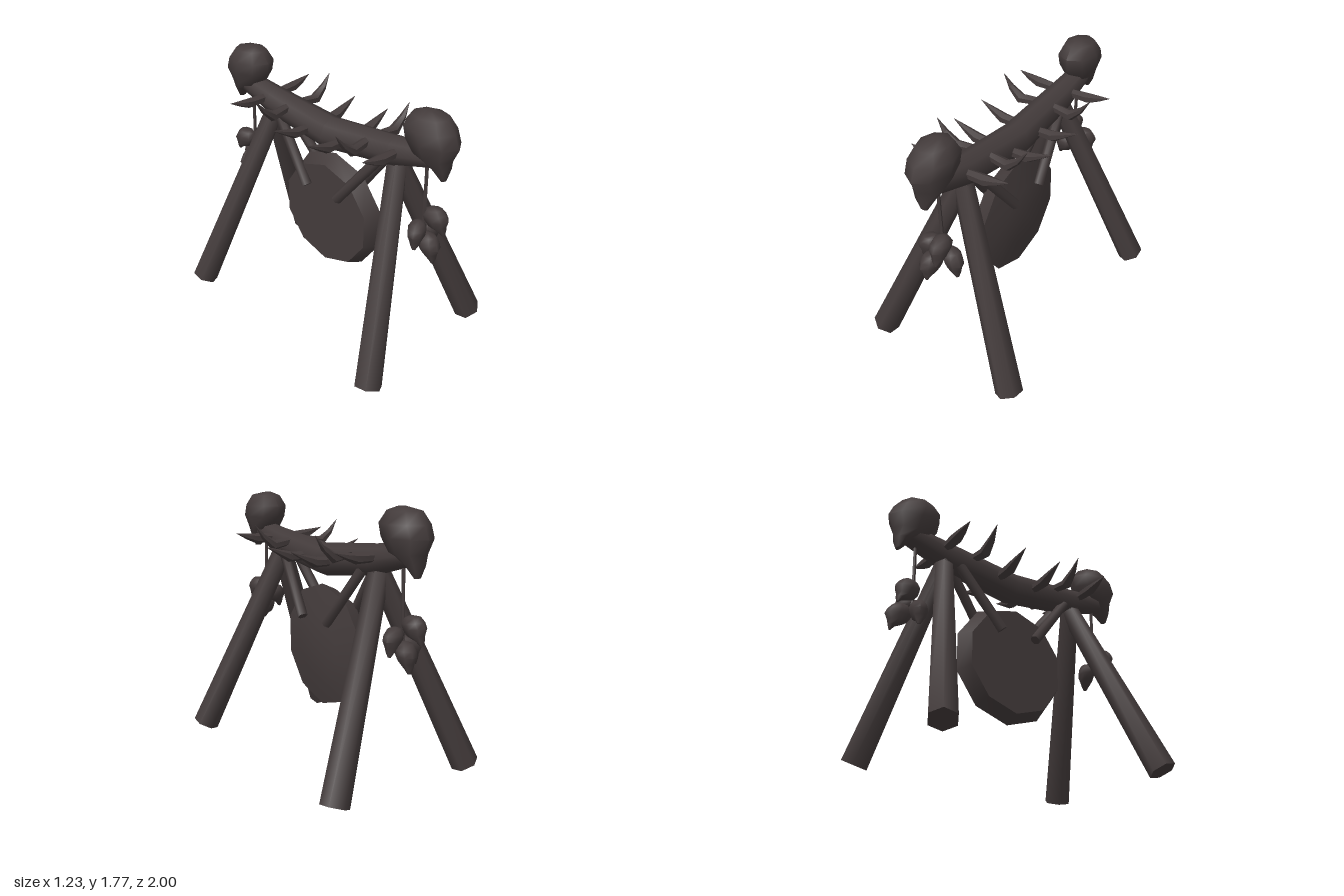
import * as THREE from 'three';
import { toCreasedNormals } from 'three/addons/utils/BufferGeometryUtils.js';

const charred = new THREE.MeshStandardMaterial({ color: 0x433b3b });
charred.name = 'charred wood and bone';

function mesh(name, geometry, crease = 0.9) {
  const m = new THREE.Mesh(toCreasedNormals(geometry, crease), charred);
  m.name = name;
  return m;
}

// Closed skin over elliptical rings { c: centre, u, v: half axes }, with u x v pointing along the loft
function loft(rings, sides) {
  const pos = [], index = [];
  for (const { c, u, v } of rings) {
    for (let j = 0; j < sides; j++) {
      const a = (j / sides) * Math.PI * 2;
      for (let k = 0; k < 3; k++) pos.push(c[k] + u[k] * Math.cos(a) + v[k] * Math.sin(a));
    }
  }
  const last = rings.length - 1, capA = rings.length * sides, capB = capA + 1;
  pos.push(...rings[0].c, ...rings[last].c);
  for (let j = 0; j < sides; j++) {
    const n = (j + 1) % sides;
    for (let i = 0; i < last; i++) {
      const a = i * sides + j, b = i * sides + n;
      index.push(a, b, b + sides, a, b + sides, a + sides);
    }
    index.push(capA, n, j, capB, last * sides + j, last * sides + n);
  }
  const g = new THREE.BufferGeometry();
  g.setAttribute('position', new THREE.Float32BufferAttribute(pos, 3));
  g.setIndex(index);
  return g;
}

// Tapered rod from a to b
function rod(name, a, b, ra, rb, sides) {
  const from = new THREE.Vector3(...a), to = new THREE.Vector3(...b);
  const dir = to.clone().sub(from);
  const m = mesh(name, new THREE.CylinderGeometry(rb, ra, dir.length(), sides), 1.2);
  m.position.copy(from).add(to).multiplyScalar(0.5);
  m.quaternion.setFromUnitVectors(new THREE.Vector3(0, 1, 0), dir.normalize());
  return m;
}

// Skull facing +z, about its own centre: height, back z, front z, half width
function skullGeometry() {
  const rows = [
    [-0.21, 0.09, 0.12, 0.025], [-0.14, 0.03, 0.14, 0.065], [-0.07, -0.12, 0.155, 0.1],
    [0.02, -0.18, 0.195, 0.132], [0.1, -0.195, 0.16, 0.136], [0.175, -0.14, 0.1, 0.095],
    [0.198, -0.07, -0.02, 0.03],
  ];
  return loft(rows.map(([y, zb, zf, w]) => ({
    c: [0, y, (zb + zf) / 2], u: [0, 0, (zf - zb) / 2], v: [w, 0, 0],
  })), 8);
}

function skull(name, position, yaw = 0, pitch = 0, scale = 1) {
  const m = mesh(name, skullGeometry(), 1.1);
  m.position.set(...position);
  m.rotation.set(pitch, yaw, 0, 'YXZ');
  m.scale.setScalar(scale);
  return m;
}

// Bent thorn growing towards +x
function spike(z, baseY, bendY, tipX, tipY) {
  const ring = (x, y, h, w) => ({ c: [x, y, z], u: [-h * 0.3, h, 0], v: [0, 0, w] });
  return mesh('spike', loft([
    ring(0.06, baseY, 0.03, 0.032),
    ring(0.2, bendY, 0.035, 0.04),
    ring(0.28, bendY + (tipY - bendY) * 0.42, 0.02, 0.026),
    ring(tipX, tipY, 0.001, 0.001),
  ], 6), 0.8);
}

// Leg pair, straps, skull and hanging cluster at the +z end, with the spikes of the +x side
function endAssembly() {
  const g = new THREE.Group();
  g.name = 'frameEnd';
  for (const s of [1, -1]) {
    g.add(rod('leg', [s * 0.54, 0.035, 0.84], [s * -0.015, 1.39, 0.55], 0.094, 0.068, 6));
    g.add(rod('gongStrap', [s * 0.105, 0.95, 0.14], [s * 0.05, 1.36, 0.46], 0.036, 0.036, 6));
  }
  g.add(skull('endSkull', [0, 1.57, 0.805]));
  g.add(rod('cord', [0.01, 0.95, 0.785], [0, 1.47, 0.785], 0.012, 0.012, 5));
  g.add(skull('hangingSkull', [0.045, 1.03, 0.85], 0.1, -0.15, 0.46));
  g.add(skull('hangingSkull', [-0.08, 0.97, 0.8], -1.2, 0, 0.43));
  g.add(skull('hangingSkull', [0.07, 0.89, 0.77], 1.2, 0, 0.45));
  g.add(skull('hangingSkull', [-0.03, 0.88, 0.86], -0.2, 0, 0.46));
  for (const s of [1, -1]) {
    g.add(spike(s * 0.15, 1.37, 1.375, 0.385, 1.455));
    g.add(spike(s * 0.36, 1.45, 1.43, 0.345, 1.58));
    g.add(spike(s * 0.59, 1.45, 1.455, 0.365, 1.5));
  }
  return g;
}

export function createModel() {
  const model = new THREE.Group();
  model.name = 'gongStand';

  // Sagging top beam
  const beam = [
    [-0.88, 1.5, 0.07], [-0.54, 1.425, 0.1], [0, 1.36, 0.112], [0.54, 1.425, 0.1], [0.88, 1.5, 0.07],
  ];
  model.add(mesh('beam', loft(beam.map(([z, y, r]) => ({ c: [0, y, z], u: [r, 0, 0], v: [0, r, 0] })), 8)));

  // Ten-sided gong, flat on one face and domed on the other
  const profile = [[0, -0.075], [0.38, -0.075], [0.43, 0.035], [0.22, 0.08], [0, 0.095]]
    .map(([r, h]) => new THREE.Vector2(r, h));
  const gongShape = new THREE.LatheGeometry(profile, 10, Math.PI / 2);
  gongShape.rotateZ(-Math.PI / 2);
  const gong = mesh('gong', gongShape, 0.7);
  gong.position.y = 0.765;
  model.add(gong);

  // Matching ends
  for (const turn of [0, Math.PI]) {
    const end = endAssembly();
    end.rotation.y = turn;
    model.add(end);
  }
  return model;
}
